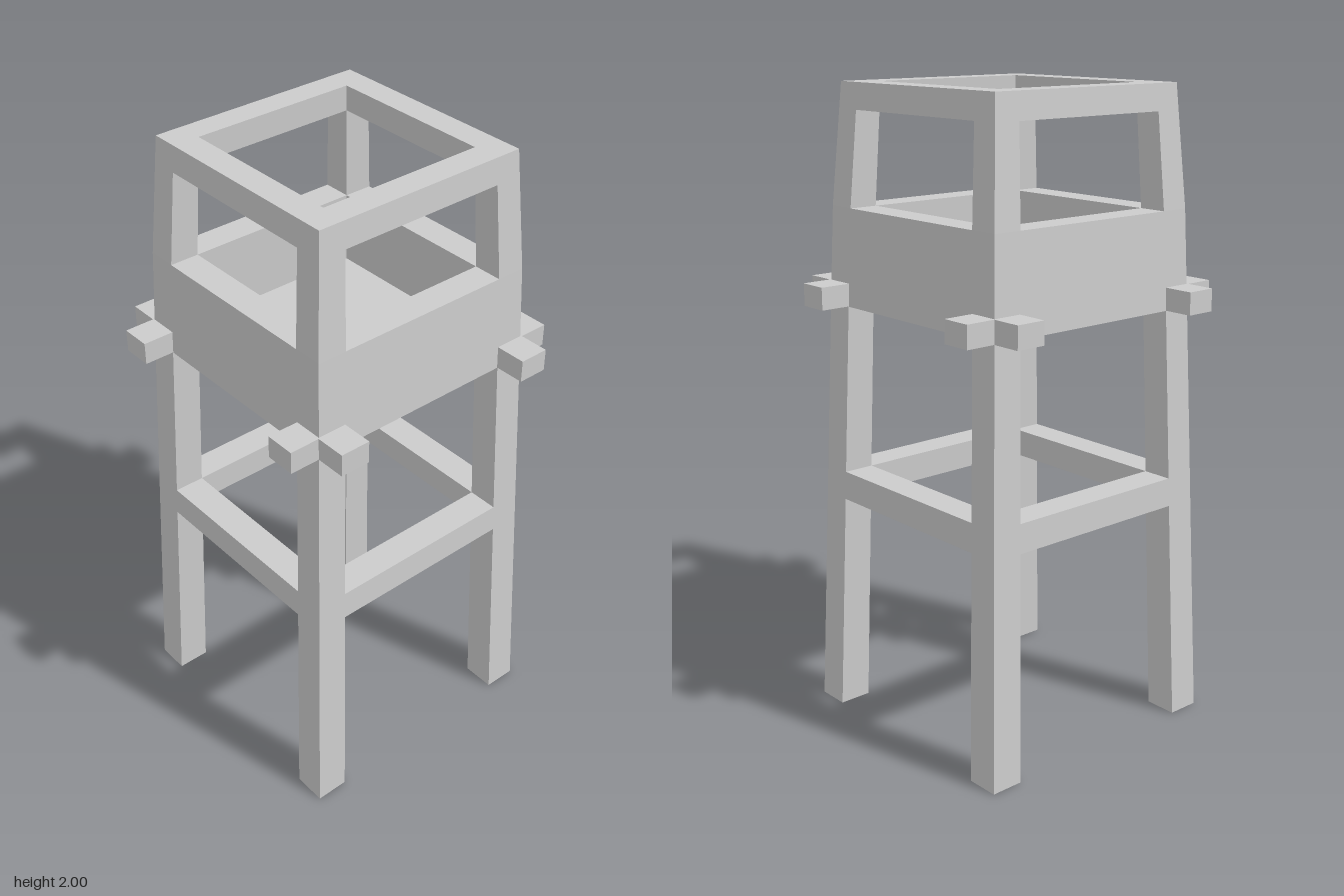
import * as THREE from 'three';

const material = new THREE.MeshStandardMaterial({ color: 0xcccccc, flatShading: true, side: THREE.DoubleSide });

// Half-widths [height, outer, inner] of the tapering tower
const levels = [[0, 0.435, 0.33], [1.33, 0.388, 0.294], [1.63, 0.377, 0.284], [2, 0.351, 0.267]];

function halfWidths(y) {
  let i = 0;
  while (i < levels.length - 2 && y > levels[i + 1][0]) i++;
  const [a, b] = [levels[i], levels[i + 1]];
  const t = (y - a[0]) / (b[0] - a[0]);
  return { outer: a[1] + (b[1] - a[1]) * t, inner: a[2] + (b[2] - a[2]) * t };
}

export function createModel() {
  const model = new THREE.Group();

  function add(name, geometry) {
    const flat = geometry.index ? geometry.toNonIndexed() : geometry;
    flat.computeVertexNormals();
    const mesh = new THREE.Mesh(flat, material);
    mesh.name = name;
    model.add(mesh);
    return mesh;
  }

  // Mitred square frame that follows the taper between two heights
  function addFrame(name, y0, y1) {
    const a = halfWidths(y0), b = halfWidths(y1);
    const profile = [[a.inner, y0], [a.outer, y0], [b.outer, y1], [b.inner, y1], [a.inner, y0]]
      .map(([r, y]) => new THREE.Vector2(r * Math.SQRT2, y));
    add(name, new THREE.LatheGeometry(profile, 4, Math.PI / 4));
  }

  // Square corner post that follows the taper between two heights
  function addPost(name, y0, y1, sx, sz) {
    const geometry = new THREE.BoxGeometry(1, 1, 1);
    const p = geometry.attributes.position;
    for (let i = 0; i < p.count; i++) {
      const y = p.getY(i) > 0 ? y1 : y0;
      const w = halfWidths(y);
      const x = sx * (p.getX(i) * sx > 0 ? w.outer : w.inner);
      const z = sz * (p.getZ(i) * sz > 0 ? w.outer : w.inner);
      p.setXYZ(i, x, y, z);
    }
    add(name, geometry);
  }

  // Square frames: leg braces, cabin walls, top rim
  addFrame('legBraces', 0.71, 0.8);
  addFrame('cabinWalls', 1.33, 1.63);
  addFrame('topRim', 1.92, 2);

  // Cabin floor
  add('cabinFloor', new THREE.BoxGeometry(0.6, 0.07, 0.6)).position.y = 1.365;

  // Legs, window posts and projecting beam ends at each corner
  for (const sx of [-1, 1]) {
    for (const sz of [-1, 1]) {
      addPost('leg', 0, 1.33, sx, sz);
      addPost('windowPost', 1.63, 1.92, sx, sz);
      add('beamEndSide', new THREE.BoxGeometry(0.105, 0.07, 0.096)).position.set(sx * 0.432, 1.366, sz * 0.341);
      add('beamEndFront', new THREE.BoxGeometry(0.096, 0.07, 0.105)).position.set(sx * 0.341, 1.366, sz * 0.432);
    }
  }
  return model;
}
